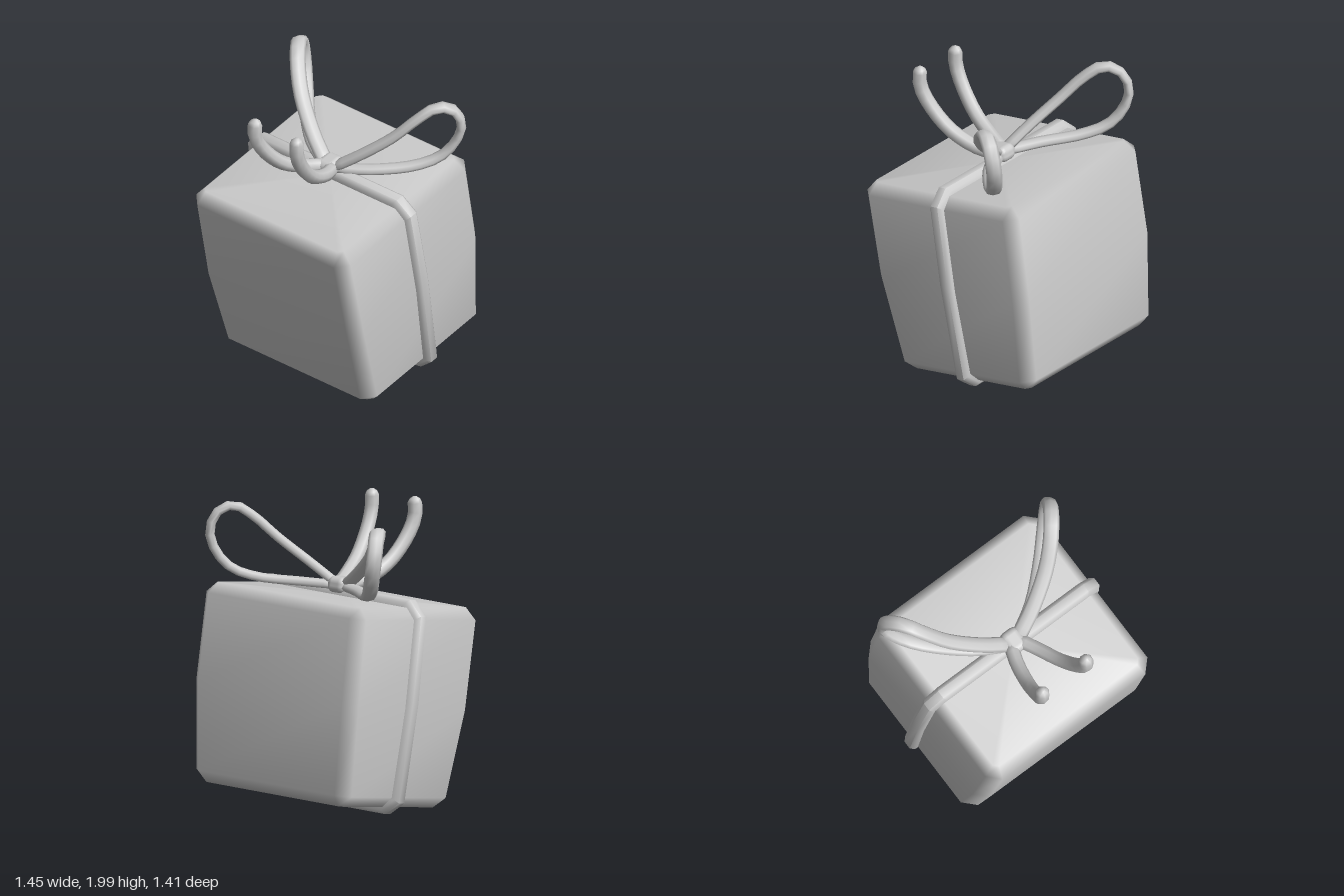
import * as THREE from 'three';
import { toCreasedNormals } from 'three/addons/utils/BufferGeometryUtils.js';
import { RoundedBoxGeometry } from 'three/addons/geometries/RoundedBoxGeometry.js';

const V = (x, y, z) => new THREE.Vector3(x, y, z);
const material = new THREE.MeshStandardMaterial({ color: 0xcccccc });

// Skin a list of rings (each counter-clockwise about the direction of travel).
function loft(rings, closed = false) {
  const n = rings[0].length, pts = rings.flat(), index = [];
  const spans = closed ? rings.length : rings.length - 1;
  for (let i = 0; i < spans; i++) {
    const r0 = i * n, r1 = ((i + 1) % rings.length) * n;
    for (let j = 0; j < n; j++) {
      const k = (j + 1) % n;
      index.push(r0 + j, r0 + k, r1 + k, r0 + j, r1 + k, r1 + j);
    }
  }
  if (!closed) {
    for (const last of [false, true]) {
      const base = last ? (rings.length - 1) * n : 0;
      const ring = rings[last ? rings.length - 1 : 0];
      const centre = ring.reduce((s, p) => s.add(p), V(0, 0, 0)).divideScalar(n);
      const c = pts.push(centre) - 1;
      for (let j = 0; j < n; j++) {
        const a = base + j, b = base + (j + 1) % n;
        index.push(c, last ? a : b, last ? b : a);
      }
    }
  }
  const geo = new THREE.BufferGeometry().setFromPoints(pts);
  geo.setIndex(index);
  geo.computeVertexNormals();
  return geo;
}

// Oval section swept along a curve; `side` is the direction of its width.
function ribbon(points, side, width, height, steps, roundEnd = false) {
  const curve = new THREE.CatmullRomCurve3(points);
  const rings = [];
  const ring = (t, scale, push = 0) => {
    const T = curve.getTangentAt(t);
    const P = curve.getPointAt(t).addScaledVector(T, push);
    const B = side.clone().addScaledVector(T, -side.dot(T)).normalize();
    const N = T.clone().cross(B);
    rings.push(Array.from({ length: 8 }, (_, j) => {
      const a = j / 8 * Math.PI * 2;
      return P.clone().addScaledVector(B, Math.cos(a) * width * scale)
        .addScaledVector(N, Math.sin(a) * height * scale);
    }));
  };
  for (let i = 0; i <= steps; i++) ring(i / steps, 1);
  if (roundEnd) {
    ring(1, 0.75, 0.025);
    ring(1, 0.3, 0.04);
  }
  return loft(rings);
}

// Leaning box: tilted layers from bottom to top, each a rectangle with cut corners.
// [front z, front y, back z, back y, half width, corner cut]
function boxGeometry() {
  const layers = [
    [0.33, 0.005, -0.645, 0.185, 0.58, 0.03],
    [0.425, 0.06, -0.705, 0.27, 0.65, 0.08],
    [0.588, 0.62, -0.67, 0.865, 0.68, 0.08],
    [0.71, 1.20, -0.578, 1.433, 0.67, 0.08],
    [0.65, 1.285, -0.498, 1.492, 0.60, 0.03],
  ];
  return loft(layers.map(([zf, yf, zb, yb, h, c]) => {
    const at = (x, z) => V(x, yf + (yb - yf) * (zf - z) / (zf - zb), z);
    const half = [[h - c, zf], [h, zf - c], [h, zb + c], [h - c, zb]];
    const mirrored = half.map(([x, z]) => [-x, z]).reverse();
    return [...half, ...mirrored].map(([x, z]) => at(x, z));
  }));
}

// Band round the box: cut-corner outline with a bevelled outer face.
function bandGeometry() {
  const right = [[0.60, 0.705], [0.705, 0.61], [0.72, 0.04], [0.695, -0.62], [0.59, -0.705]];
  const outline = [...right, ...right.map(([x, y]) => [-x, y]).reverse()];
  const profile = [[0.053, -0.022], [0.053, -0.075], [-0.053, -0.075],
    [-0.053, -0.022], [-0.028, 0], [0.028, 0]];
  const rings = outline.map(([x, y]) => profile.map(([w, off]) => {
    const s = 1 + off / 0.71;
    return V(x * s, y * s, w);
  }));
  return toCreasedNormals(loft(rings, true), 0.9);
}

export function createModel() {
  const model = new THREE.Group();
  model.name = 'giftBox';
  const add = (name, geometry) => {
    const mesh = new THREE.Mesh(geometry, material);
    mesh.name = name;
    model.add(mesh);
    return mesh;
  };

  add('box', boxGeometry());

  const band = add('ribbonBand', bandGeometry());
  band.position.set(0, 0.748, -0.055);
  band.rotation.x = 0.177;

  const knot = add('bowKnot', new RoundedBoxGeometry(0.145, 0.11, 0.165, 2, 0.045));
  knot.position.set(0, 1.455, 0.073);
  knot.rotation.x = 0.177;

  // Bow loops and tails, mirrored left and right
  const loopPath = [
    [0.04, 1.46, 0.07], [0.2, 1.58, 0.01], [0.40, 1.75, -0.10], [0.52, 1.89, -0.2],
    [0.605, 1.967, -0.30], [0.665, 1.93, -0.39], [0.69, 1.82, -0.44], [0.665, 1.70, -0.43],
    [0.59, 1.57, -0.36], [0.47, 1.50, -0.24], [0.25, 1.465, -0.05], [0.04, 1.45, 0.07],
  ];
  const tailPath = [
    [0.03, 1.45, 0.08], [0.085, 1.48, 0.22], [0.13, 1.56, 0.385], [0.16, 1.68, 0.51],
    [0.178, 1.80, 0.588], [0.182, 1.88, 0.61], [0.18, 1.935, 0.607],
  ];
  for (const [label, s] of [['left', 1], ['right', -1]]) {
    const path = (pts) => pts.map(([x, y, z]) => V(s * x, y, z));
    add(label + 'BowLoop', ribbon(path(loopPath), V(s * 0.65, 0, 0.76), 0.052, 0.031, 26));
    add(label + 'BowTail', ribbon(path(tailPath), V(s * 0.97, 0, -0.24), 0.048, 0.048, 12, true));
  }
  return model;
}
